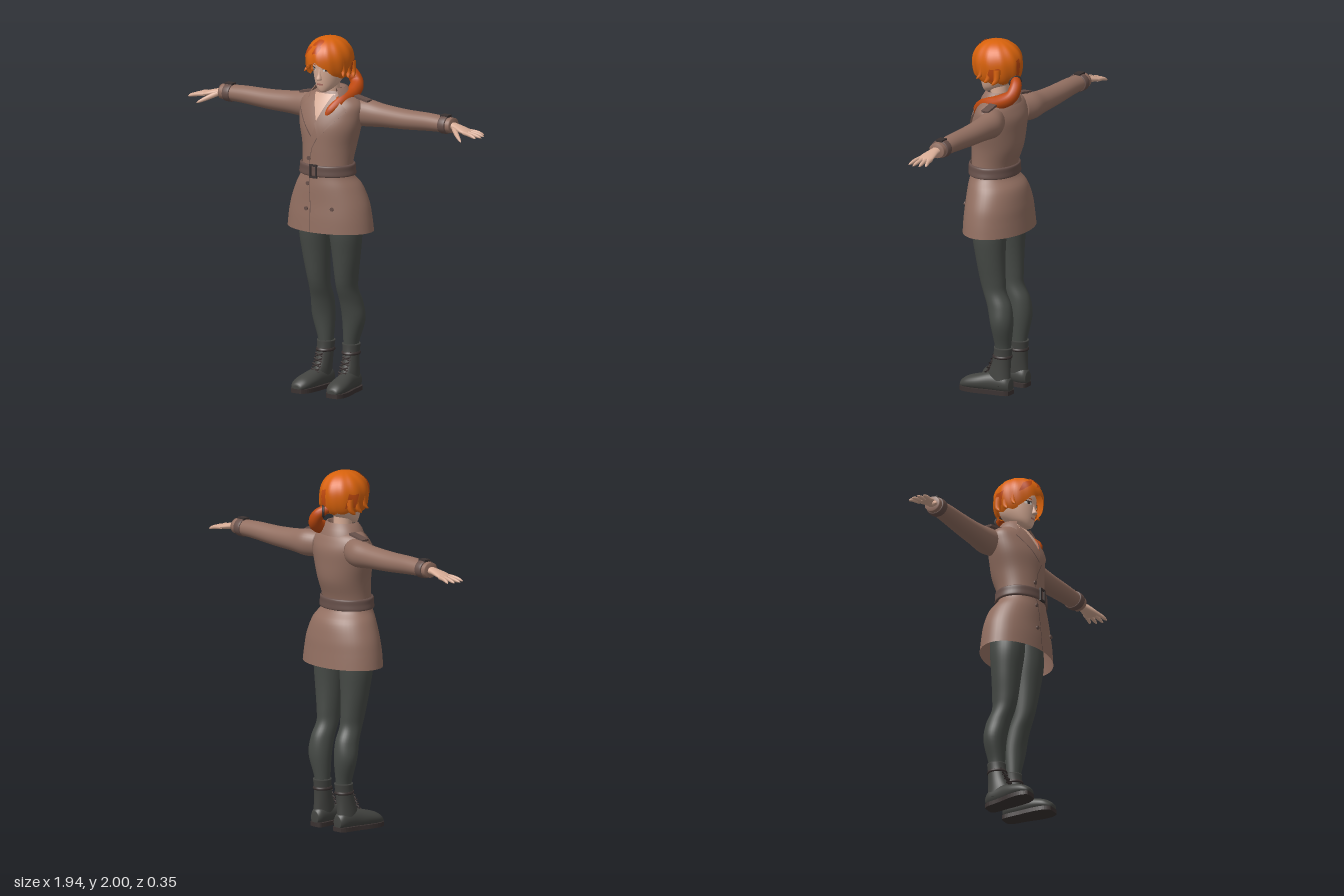
import * as THREE from 'three';
import { mergeVertices } from 'three/addons/utils/BufferGeometryUtils.js';

const mat = (name, color, double = true) => {
  const m = new THREE.MeshStandardMaterial({ color });
  m.name = name;
  if (double) m.side = THREE.DoubleSide;
  return m;
};
const V = (x, y, z) => new THREE.Vector3(x, y, z);

// Surface from a rule: u runs around, v runs along
function grid(nu, nv, fn) {
  const pos = [], idx = [];
  for (let j = 0; j <= nv; j++) for (let i = 0; i <= nu; i++) pos.push(...fn(i / nu, j / nv));
  for (let j = 0; j < nv; j++) for (let i = 0; i < nu; i++) {
    const a = j * (nu + 1) + i, b = a + 1, c = b + nu + 1, d = a + nu + 1;
    idx.push(a, b, c, a, c, d);
  }
  const g = new THREE.BufferGeometry();
  g.setAttribute('position', new THREE.Float32BufferAttribute(pos, 3));
  g.setIndex(idx);
  const m = mergeVertices(g, 1e-5);
  m.computeVertexNormals();
  return m;
}

// Cross-section rows smoothed with a Catmull-Rom rule
function smooth(rows, sub = 5) {
  const out = [], n = rows.length;
  for (let i = 0; i < n - 1; i++) for (let k = 0; k < sub; k++) {
    const t = k / sub, p = [rows[Math.max(i - 1, 0)], rows[i], rows[i + 1], rows[Math.min(i + 2, n - 1)]];
    out.push(rows[i].map((_, c) => {
      const [a, b, d, e] = p.map(r => r[c]);
      return 0.5 * (2 * b + (d - a) * t + (2 * a - 5 * b + 4 * d - e) * t * t + (3 * b - a - 3 * d + e) * t ** 3);
    }));
  }
  out.push(rows[n - 1]);
  return out;
}

// Elliptical loft; rows are [along, centre1, centre2, radius1, radius2]
function loft(rows, axis = 'y', caps = true, segs = 32) {
  const s = smooth(rows);
  if (caps) {
    s.unshift([...s[0].slice(0, 3), 0, 0]);
    s.push([...s[s.length - 1].slice(0, 3), 0, 0]);
  }
  return grid(segs, s.length - 1, (u, v) => {
    const [t, c1, c2, r1, r2] = s[Math.round(v * (s.length - 1))], a = (u % 1) * Math.PI * 2;
    const p = c1 + r1 * Math.sin(a), q = c2 + r2 * Math.cos(a);
    return axis === 'y' ? [p, t, q] : axis === 'x' ? [t, q, p] : [q, p, t];
  });
}

// Tapered strand along a curve
function strand(pts, radius, n = 20, segs = 12) {
  const curve = new THREE.CatmullRomCurve3(pts.map(p => V(...p))), f = curve.computeFrenetFrames(n);
  return grid(segs, n, (u, v) => {
    const a = (u % 1) * Math.PI * 2, i = Math.round(v * n), r = radius(v);
    return curve.getPoint(v).addScaledVector(f.normals[i], Math.cos(a) * r).addScaledVector(f.binormals[i], Math.sin(a) * r).toArray();
  });
}

// Front of a lofted body, used to lay thin details on it
function frontOf(rows) {
  const s = smooth(rows);
  return (x, y) => {
    let i = 0;
    while (i < s.length - 2 && s[i + 1][0] < y) i++;
    const k = (y - s[i][0]) / (s[i + 1][0] - s[i][0]);
    const [, cx, cz, rx, rz] = s[i].map((q, c) => q + (s[i + 1][c] - q) * k);
    return cz + rz * Math.sqrt(Math.max(0, 1 - ((x - cx) / rx) ** 2));
  };
}
const patch = ([a, b, c, d], front, off) => grid(8, 8, (u, v) => {
  const [x, y] = [0, 1].map(k => (a[k] * (1 - u) + b[k] * u) * (1 - v) + (d[k] * (1 - u) + c[k] * u) * v);
  return [x, y, front(x, y) + off];
});
const rect = (x, y, w, h, tilt = 0) => [[x - w, y - h - tilt], [x + w, y - h + tilt], [x + w, y + h + tilt], [x - w, y + h - tilt]];

export function createModel() {
  const coat = mat('coat brown', 0x926f61), strap = mat('strap brown', 0x67504a), dark = mat('dark trim', 0x3a3231);
  const skin = mat('skin', 0xd6ab95), hair = mat('hair orange', 0xd8620c), hairDark = mat('hair dark orange', 0xbd480e);
  const cloth = mat('leggings grey', 0x464a46), boot = mat('boot grey', 0x424340), white = mat('eye white', 0xd8d4cf), lip = mat('lip', 0xb07468);
  const model = new THREE.Group();
  const add = (name, geo, m, parent = model) => {
    const mesh = new THREE.Mesh(geo, m);
    mesh.name = name;
    parent.add(mesh);
    return mesh;
  };

  // Coat body and skirt
  const body = [[0.92, 0, 0, 0.262, 0.175], [1.0, 0, 0.002, 0.252, 0.17], [1.08, 0, 0.003, 0.234, 0.163], [1.17, 0, 0.012, 0.195, 0.15],
    [1.235, 0, 0.033, 0.152, 0.122], [1.3, 0, 0.028, 0.146, 0.124], [1.4, 0, 0.01, 0.157, 0.14], [1.5, 0, 0.003, 0.182, 0.142],
    [1.57, 0, -0.008, 0.192, 0.132], [1.62, 0, -0.012, 0.19, 0.112], [1.655, 0, -0.012, 0.16, 0.092], [1.68, 0, -0.005, 0.11, 0.07], [1.7, 0, 0, 0.08, 0.055]];
  add('coat', loft(body, 'y', false, 48), coat);
  const chest = frontOf(body);
  add('neckline', patch([[-0.005, 1.52], [0.005, 1.52], [0.065, 1.685], [-0.065, 1.685]], chest, 0.004), skin);

  // Lapels, collar, front seam and buttons
  add('rightLapel', patch([[-0.025, 1.455], [0.005, 1.53], [-0.06, 1.685], [-0.145, 1.595]], chest, 0.011), coat);
  add('leftLapel', patch([[0.02, 1.45], [-0.005, 1.53], [0.06, 1.685], [0.16, 1.605]], chest, 0.013), coat);
  const edge = (a, b, w) => patch([a, [a[0] + w, a[1] + w], [b[0] + w, b[1] + w], b], chest, 0.0145);
  add('rightLapelEdge', edge([-0.025, 1.455], [-0.145, 1.595], 0.004), strap);
  add('leftLapelEdge', edge([0.02, 1.45], [0.16, 1.605], 0.004), strap);
  const fold = [[0.075, 1.665], [0.082, 1.715], [0.092, 1.718], [0.118, 1.685], [0.132, 1.65]];
  add('collar', grid(36, 4, (u, v) => {
    const a = (50 + 260 * u) * Math.PI / 180, [r, y] = fold[Math.round(v * 4)];
    return [r * Math.sin(a), y, -0.005 + r * 0.85 * Math.cos(a)];
  }), coat);
  const seam = [[0.015, 1.46], [-0.025, 1.39], [-0.045, 1.3], [-0.04, 1.22], [-0.025, 1.08], [-0.02, 0.925]];
  for (let i = 0; i < 5; i++) {
    const [a, b] = [seam[i], seam[i + 1]];
    add('frontSeam', patch([b, [b[0] + 0.004, b[1]], [a[0] + 0.004, a[1]], a], chest, 0.003), strap);
  }
  for (const [x, y] of [[-0.045, 1.33], [-0.045, 1.19], [-0.05, 1.05], [0.11, 1.06]]) {
    const b = add('button', new THREE.CylinderGeometry(0.011, 0.011, 0.008, 14), strap);
    b.rotation.x = Math.PI / 2;
    b.position.set(x, y, chest(x, y) + 0.004);
  }

  // Belt and buckle
  add('belt', loft([[1.232, 0, 0.03, 0.156, 0.128], [1.238, 0, 0.03, 0.166, 0.136], [1.265, 0, 0.03, 0.162, 0.136], [1.29, 0, 0.03, 0.16, 0.136], [1.297, 0, 0.03, 0.15, 0.128]], 'y', false, 48), strap);
  const frame = new THREE.Shape(rect(0, 0, 0.024, 0.038).map(p => new THREE.Vector2(...p)));
  frame.holes.push(new THREE.Path(rect(0, 0, 0.014, 0.027).map(p => new THREE.Vector2(...p))));
  add('beltBuckle', new THREE.ExtrudeGeometry(frame, { depth: 0.012, bevelEnabled: false }), dark).position.set(-0.002, 1.264, 0.162);

  // Neck, head and face
  add('neck', loft([[1.6, 0, -0.01, 0.06, 0.05], [1.68, 0, -0.002, 0.05, 0.05], [1.78, 0, 0, 0.05, 0.052]]), skin);
  const skull = [[1.697, 0, 0.076, 0.018, 0.016], [1.708, 0, 0.062, 0.036, 0.036], [1.735, 0, 0.035, 0.06, 0.07], [1.78, 0, 0.013, 0.079, 0.098],
    [1.83, 0, 0.006, 0.088, 0.108], [1.88, 0, 0.004, 0.09, 0.11], [1.93, 0, 0, 0.075, 0.09]];
  add('head', loft(skull), skin);
  const face = frontOf(skull);
  add('nose', loft([[1.765, 0, 0.108, 0.008, 0.008], [1.773, 0, 0.114, 0.015, 0.019], [1.8, 0, 0.109, 0.009, 0.012], [1.835, 0, 0.107, 0.007, 0.006]], 'y', true, 12), skin);
  add('mouth', patch(rect(0, 1.742, 0.02, 0.005), face, 0.003), lip);
  for (const s of [-1, 1]) {
    add('eye', patch(rect(s * 0.042, 1.826, 0.017, 0.007, s * 0.002), face, 0.002), white);
    add('iris', patch(rect(s * 0.042, 1.826, 0.006, 0.007), face, 0.004), dark);
    add('lashes', patch(rect(s * 0.043, 1.835, 0.02, 0.003, s * 0.002), face, 0.004), dark);
    add('brow', patch(rect(s * 0.045, 1.853, 0.022, 0.003, s * 0.003), face, 0.003), hairDark);
  }

  // Swept hair with a hairline that varies around the head
  const line = [[-180, 1.775], [-100, 1.79], [-62, 1.79], [-42, 1.835], [-20, 1.865], [-5, 1.875], [15, 1.86], [35, 1.825], [60, 1.79], [100, 1.78], [180, 1.775]];
  const hairPoint = (a, t, off = 0) => {
    const d = a * 180 / Math.PI;
    let i = 0;
    while (i < line.length - 2 && line[i + 1][0] < d) i++;
    const e = line[i][1] + (line[i + 1][1] - line[i][1]) * (d - line[i][0]) / (line[i + 1][0] - line[i][0]) - 0.01 * Math.abs(Math.sin(6 * a));
    const p0 = Math.asin((e - 1.875) / 0.124), p = p0 + (Math.PI / 2 - p0) * t;
    const r = Math.max(0, Math.cos(p)) ** (p < 0 ? 0.4 : 0.9) * (1 + 0.018 * Math.sin(11 * a + 5 * t)) + off * 8;
    return [0.128 * r * Math.sin(a), 1.875 + (0.124 + off) * Math.sin(p), 0.012 + 0.144 * r * Math.cos(a)];
  };
  add('hair', grid(72, 20, (u, v) => hairPoint((u * 2 - 1) * Math.PI, v)), hair);
  for (const [a0, a1, t0, t1] of [[-22, 12, 0.5, 0.72], [-55, -25, 0.3, 0.48], [-8, 8, 0.25, 0.5], [95, 120, 0.1, 0.35], [-125, -100, 0.15, 0.4], [165, 179, 0.2, 0.5]])
    add('darkLock', grid(10, 8, (u, v) => hairPoint((a0 + (a1 - a0) * u + 10 * (v - 0.5) * (a1 < 170 ? 1 : 0)) * Math.PI / 180, t0 + (t1 - t0) * v, 0.003)), hairDark);
  const taper = r => t => r * Math.sqrt(Math.max(0.002, 1 - t));
  for (const s of [-1, 1]) for (const [z, y, r] of [[0.05, 1.79, 0.018], [0.0, 1.775, 0.022], [-0.05, 1.77, 0.022]])
    add('sideLock', strand([[s * 0.105, y + 0.09, z], [s * 0.115, y + 0.03, z], [s * 0.13, y + 0.005, z + 0.02]], taper(r), 10, 8), hair);

  // Ponytail brought forward over the left shoulder
  add('ponytail', strand([[0.01, 1.8, -0.1], [0.045, 1.775, -0.135], [0.085, 1.715, -0.13], [0.1, 1.675, -0.06], [0.095, 1.65, 0.03], [0.065, 1.6, 0.1], [0.04, 1.555, 0.115]],
    t => 0.012 + 0.028 * Math.sin(Math.PI * Math.min(1, 0.12 + t * 0.86)), 36, 14), hairDark);
  const tie = add('hairTie', new THREE.TorusGeometry(0.03, 0.008, 8, 18), dark);
  tie.position.set(0.03, 1.785, -0.12);
  tie.rotation.y = -0.8;

  // Limbs, built for the left side and mirrored
  for (const side of [1, -1]) {
    const g = new THREE.Group();
    g.name = side > 0 ? 'leftLimbs' : 'rightLimbs';
    g.scale.x = side;
    model.add(g);
    add('sleeve', loft([[0.12, -0.05, 1.575, 0.06, 0.07], [0.2, -0.07, 1.575, 0.07, 0.076], [0.3, -0.072, 1.572, 0.063, 0.064], [0.45, -0.07, 1.57, 0.058, 0.056],
      [0.6, -0.07, 1.575, 0.053, 0.05], [0.7, -0.07, 1.575, 0.05, 0.045], [0.77, -0.07, 1.575, 0.046, 0.042]], 'x'), coat, g);
    add('cuffStrap', loft([[0.695, -0.07, 1.575, 0.048, 0.044], [0.7, -0.07, 1.575, 0.057, 0.051], [0.735, -0.07, 1.575, 0.056, 0.05], [0.74, -0.07, 1.575, 0.046, 0.042]], 'x'), strap, g);
    add('cuffBuckle', new THREE.BoxGeometry(0.05, 0.012, 0.04), dark, g).position.set(0.718, 1.624, -0.07);
    const tab = add('epaulette', new THREE.BoxGeometry(0.11, 0.012, 0.045), strap, g);
    tab.position.set(0.172, 1.66, -0.045);
    tab.rotation.z = -0.2;

    add('hand', loft([[0.75, -0.068, 1.575, 0.028, 0.022], [0.79, -0.065, 1.571, 0.03, 0.019], [0.84, -0.06, 1.56, 0.041, 0.017], [0.88, -0.06, 1.551, 0.043, 0.012], [0.892, -0.06, 1.549, 0.035, 0.006]], 'x'), skin, g);
    for (const [z0, z1, tip] of [[-0.094, -0.11, 0.945], [-0.071, -0.078, 0.965], [-0.049, -0.042, 0.972], [-0.027, -0.008, 0.958]])
      add('finger', strand([[0.865, 1.553, z0], [0.915, 1.547, (z0 + z1) / 2], [tip, 1.535, z1]], t => 0.0115 * Math.sqrt(Math.max(0.01, 1 - t ** 3 * 0.99)), 10, 8), skin, g);
    add('thumb', strand([[0.785, 1.565, -0.05], [0.83, 1.54, -0.012], [0.88, 1.512, 0.022]], t => 0.015 * Math.sqrt(Math.max(0.01, 1 - t ** 2 * 0.98)), 10, 8), skin, g);

    add('legging', loft([[0.2, 0.085, -0.075, 0.038, 0.042], [0.27, 0.084, -0.075, 0.042, 0.046], [0.4, 0.1, -0.077, 0.065, 0.063], [0.5, 0.096, -0.06, 0.062, 0.07],
      [0.58, 0.092, -0.027, 0.057, 0.068], [0.65, 0.094, -0.015, 0.062, 0.075], [0.78, 0.1, -0.004, 0.077, 0.085], [0.92, 0.1, 0.003, 0.09, 0.098], [1.08, 0.085, 0, 0.085, 0.1]]), cloth, g);

    // Boot shaft, foot, sole and laces
    add('bootShaft', loft([[0.05, 0.095, -0.06, 0.044, 0.066], [0.1, 0.092, -0.055, 0.044, 0.068], [0.16, 0.088, -0.065, 0.044, 0.057], [0.22, 0.085, -0.073, 0.046, 0.052], [0.265, 0.084, -0.077, 0.05, 0.053]]), boot, g);
    const foot = [[-0.13, 0.05, 0.09, 0.035, 0.028], [-0.1, 0.06, 0.091, 0.052, 0.043], [-0.02, 0.062, 0.098, 0.056, 0.048], [0.06, 0.053, 0.108, 0.047, 0.056], [0.125, 0.043, 0.114, 0.037, 0.053], [0.16, 0.033, 0.118, 0.024, 0.036], [0.168, 0.03, 0.118, 0.012, 0.02]];
    add('bootFoot', loft(foot, 'z'), boot, g);
    const rim = [...foot.map(r => [r[2] + r[4] + 0.003, -r[0]]), ...foot.slice().reverse().map(r => [r[2] - r[4] - 0.003, -r[0]])];
    const outline = new THREE.Shape(new THREE.SplineCurve([...rim, rim[0]].map(p => new THREE.Vector2(...p))).getPoints(50));
    add('sole', new THREE.ExtrudeGeometry(outline, { depth: 0.024, bevelEnabled: false }), dark, g).rotation.x = -Math.PI / 2;
    for (let i = 0; i < 5; i++) {
      const y = 0.105 + i * 0.027, z = 0.028 - i * 0.013;
      for (const s of [-1, 1])
        add('lace', new THREE.TubeGeometry(new THREE.LineCurve3(V(0.09 - s * 0.026, y - 0.008, z - 0.006), V(0.09 + s * 0.026, y + 0.01, z - 0.008)), 1, 0.005, 6), dark, g);
    }
    add('bootCuff', loft([[0.205, 0.085, -0.072, 0.048, 0.054], [0.212, 0.085, -0.072, 0.052, 0.058], [0.222, 0.085, -0.073, 0.048, 0.054]]), dark, g);
  }
  return model;
}
